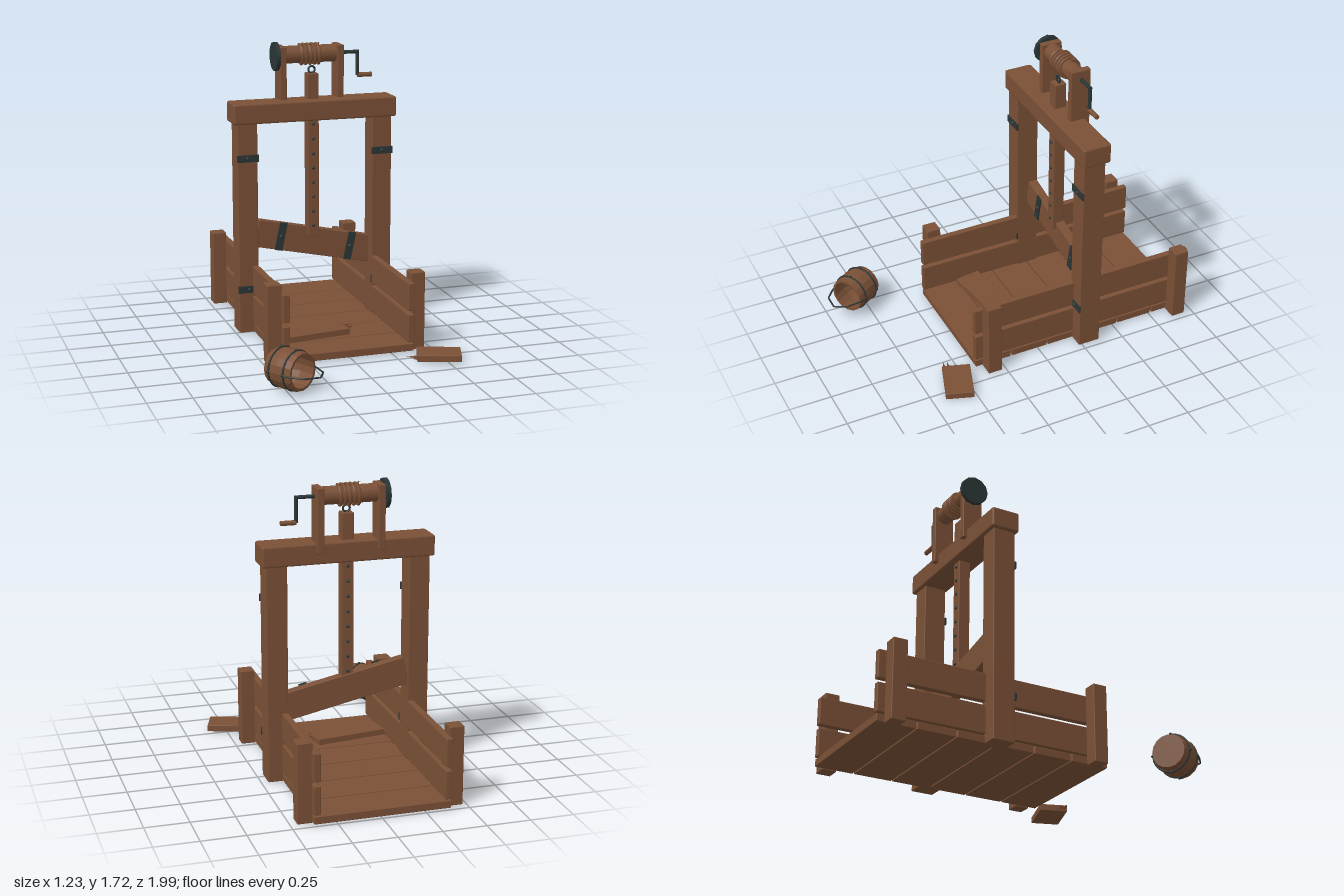
import * as THREE from 'three';
import { RoundedBoxGeometry } from 'three/addons/geometries/RoundedBoxGeometry.js';

const wood = new THREE.MeshStandardMaterial({ color: 0x7a5036 });
wood.name = 'brown wood';
const iron = new THREE.MeshStandardMaterial({ color: 0x2b3535 });
iron.name = 'dark iron';

function add(parent, name, geometry, material, x = 0, y = 0, z = 0) {
  const mesh = new THREE.Mesh(geometry, material);
  mesh.name = name;
  mesh.position.set(x, y, z);
  parent.add(mesh);
  return mesh;
}

// Softly bevelled timber given by its limits on each axis
function timber(parent, name, [x0, x1], [y0, y1], [z0, z1], bevel = 0.005) {
  const geometry = new RoundedBoxGeometry(x1 - x0, y1 - y0, z1 - z0, 1, bevel);
  return add(parent, name, geometry, wood, (x0 + x1) / 2, (y0 + y1) / 2, (z0 + z1) / 2);
}

// Flat iron plate with a nail in its middle, facing +z
function strap(parent, name, w, h, x, y, z, angle = 0) {
  const group = new THREE.Group();
  group.name = name;
  group.position.set(x, y, z);
  group.rotation.z = angle;
  add(group, 'plate', new THREE.BoxGeometry(w, h, 0.009), iron);
  add(group, 'nail', new THREE.SphereGeometry(0.012, 8, 6), iron, 0, 0, 0.004);
  parent.add(group);
}

// Board with jagged splinters on one end (side = 1 or -1 along its length)
function brokenBoard(parent, name, length, width, thick, side, spikes) {
  const group = new THREE.Group();
  group.name = name;
  timber(group, 'board', [-length / 2, length / 2], [-thick / 2, thick / 2], [-width / 2, width / 2], 0.003);
  spikes.forEach(([z, long, y]) => {
    const cone = add(group, 'splinter', new THREE.ConeGeometry(0.012, long + 0.02, 4), wood,
      side * (length / 2 + long / 2 - 0.01), y, z);
    cone.rotation.z = -side * Math.PI / 2;
  });
  parent.add(group);
  return group;
}

function buildCart(root) {
  // Floor planks
  for (let i = 0; i < 6; i++) {
    const z = -0.993 + i * 0.2345;
    timber(root, 'floorPlank', [-0.395, 0.38], [0.008, 0.052], [z, z + 0.226], 0.004);
  }
  // Side boards, corner posts and tall uprights, mirrored about x = -0.01
  for (const s of [-1, 1]) {
    const span = (a, b) => [-0.0085 + s * a, -0.0085 + s * b].sort((p, q) => p - q);
    timber(root, 'lowerSideBoard', span(0.352, 0.39), [0.06, 0.225], [-0.995, 0.408]);
    timber(root, 'upperSideBoard', span(0.352, 0.39), [0.248, 0.41], [-0.995, 0.408]);
    timber(root, 'cornerPost', span(0.385, 0.47), [0, 0.458], [-0.95, -0.865]);
    timber(root, 'cornerPost', span(0.385, 0.47), [0, 0.458], [0.275, 0.36]);
    timber(root, 'upright', span(0.353, 0.473), [0.005, 1.27], [-0.36, -0.227]);
    for (const y of [0.27, 1.058]) strap(root, 'uprightStrap', 0.13, 0.042, -0.0085 + s * 0.413, y, -0.224);
  }
  timber(root, 'crossBeam', [-0.505, 0.49], [1.26, 1.38], [-0.38, -0.21], 0.012);
}

function buildGate(root) {
  // Tilted gate board with iron straps
  const tilt = -0.209;
  const gate = add(root, 'gateBoard', new RoundedBoxGeometry(0.74, 0.165, 0.055, 1, 0.005), wood, 0.007, 0.513, -0.318);
  gate.rotation.z = tilt;
  strap(root, 'gateStrap', 0.046, 0.17, -0.205, 0.56, -0.287, tilt);
  strap(root, 'gateStrap', 0.046, 0.17, 0.225, 0.469, -0.287, tilt);
  // Hanging stem with a row of pegs and a ring
  timber(root, 'stem', [-0.042, 0.026], [0.55, 1.53], [-0.34, -0.27], 0.004);
  for (let i = 0; i < 8; i++) {
    for (const z of [-0.34, -0.27]) {
      add(root, 'stemNail', new THREE.SphereGeometry(0.01, 8, 6), iron, -0.008, 0.618 + i * 0.0875, z);
    }
  }
  add(root, 'stemRing', new THREE.TorusGeometry(0.02, 0.006, 6, 14), iron, -0.008, 1.55, -0.305);
}

function buildWinch(root) {
  const winch = new THREE.Group();
  winch.name = 'winch';
  winch.position.set(-0.008, 1.637, -0.345);
  root.add(winch);
  const rod = (name, r, x0, x1, y, material, sides) => {
    const m = add(winch, name, new THREE.CylinderGeometry(r, r, x1 - x0, sides), material, (x0 + x1) / 2, y, 0);
    m.rotation.z = Math.PI / 2;
  };
  // Supports
  for (const x of [-0.176, 0.174]) timber(winch, 'winchSupport', [x - 0.02, x + 0.02], [-0.312, 0.053], [-0.06, 0.06]);
  // Drum, end disc and crank
  rod('drum', 0.052, -0.17, 0.16, 0, wood, 12);
  rod('axle', 0.011, -0.22, 0.305, 0, iron, 8);
  rod('endDisc', 0.085, -0.22, -0.197, -0.007, iron, 12);
  add(winch, 'crankArm', new THREE.CylinderGeometry(0.011, 0.011, 0.145, 8), iron, 0.298, -0.067, 0);
  rod('crankHandle', 0.014, 0.298, 0.386, -0.139, wood, 10);
  // Rope wound as a helix
  const points = [];
  for (let i = 0; i <= 80; i++) {
    const a = (i / 80) * Math.PI * 10;
    points.push(new THREE.Vector3(-0.066 + 0.132 * i / 80, Math.cos(a) * 0.058, Math.sin(a) * 0.058));
  }
  add(winch, 'rope', new THREE.TubeGeometry(new THREE.CatmullRomCurve3(points), 120, 0.009, 6), wood);
}

function buildBucket(root) {
  const bucket = new THREE.Group();
  bucket.name = 'bucket';
  bucket.position.set(-0.484, 0.126, 0.802);
  bucket.rotation.set(Math.PI / 2, 0.55, 0, 'YXZ');
  root.add(bucket);
  // Hollow staved body
  const profile = [[0, -0.095], [0.097, -0.095], [0.109, -0.045], [0.112, 0], [0.11, 0.045], [0.104, 0.095],
    [0.09, 0.095], [0.098, 0], [0.086, -0.08], [0, -0.08]].map(([r, y]) => new THREE.Vector2(r, y));
  const body = new THREE.LatheGeometry(profile, 16).toNonIndexed();
  body.computeVertexNormals();
  add(bucket, 'bucketBody', body, wood);
  // Hoops and studs
  for (const y of [-0.053, 0.05]) {
    add(bucket, 'hoop', new THREE.TorusGeometry(0.109, 0.006, 6, 24), iron, 0, y, 0).rotation.x = Math.PI / 2;
    for (let i = 0; i < 4; i++) {
      const a = i * Math.PI / 2;
      add(bucket, 'hoopStud', new THREE.SphereGeometry(0.009, 8, 6), iron, Math.cos(a) * 0.113, y, Math.sin(a) * 0.113);
    }
  }
  // Bail handle
  const path = [[-0.115, 0.05], [-0.106, 0.1], [-0.08, 0.172], [0, 0.222], [0.07, 0.178], [0.106, 0.1], [0.115, 0.05]]
    .map(([x, y]) => new THREE.Vector3(x, y, 0));
  const curve = new THREE.CatmullRomCurve3(path, false, 'catmullrom', 0);
  add(bucket, 'handle', new THREE.TubeGeometry(curve, 48, 0.005, 6), iron);
}

export function createModel() {
  const root = new THREE.Group();
  root.name = 'brokenGate';
  buildCart(root);
  buildGate(root);
  buildWinch(root);
  buildBucket(root);

  // Snapped board halves
  const onFloor = brokenBoard(root, 'brokenBoardOnFloor', 0.43, 0.157, 0.036, 1,
    [[-0.015, 0.05, 0.01], [0.005, 0.03, 0], [0.025, 0.045, 0.008], [-0.035, 0.025, 0]]);
  onFloor.position.set(-0.139, 0.073, 0.093);
  onFloor.rotation.y = 0.14;
  const onGround = brokenBoard(root, 'brokenBoardOnGround', 0.25, 0.162, 0.038, -1,
    [[0.07, 0.045, 0.008], [0.045, 0.06, 0], [0.025, 0.03, -0.008], [0.06, 0.03, -0.006]]);
  onGround.position.set(0.472, 0.026, 0.56);
  onGround.rotation.y = -0.33;
  return root;
}
